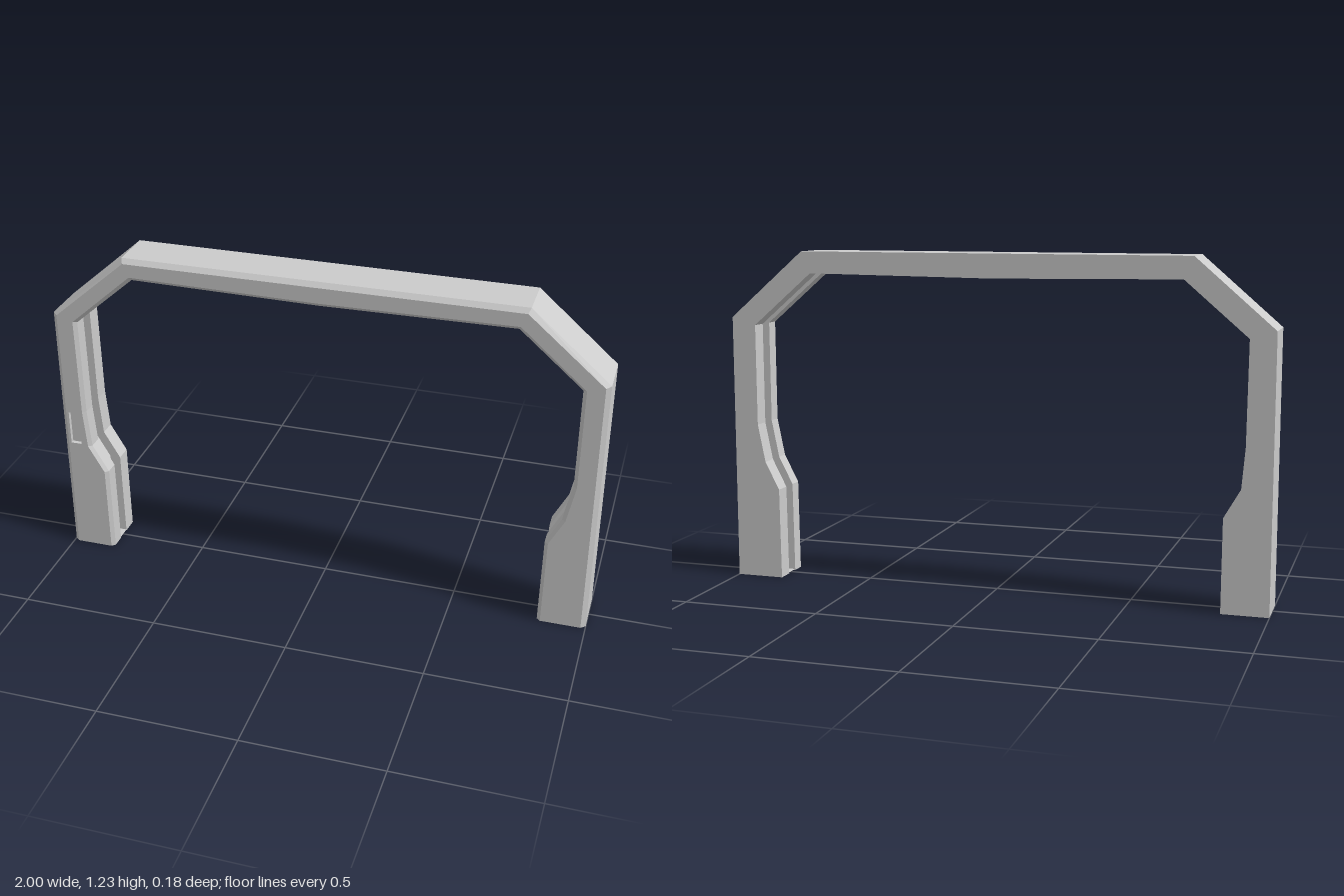
import * as THREE from 'three';

const BACK = -0.09, FRONT = 0.09;
const GROOVE_HALF = 0.027, GROOVE_DEPTH = 0.04;

// Stations along the arch: outer x, outer y, inner x, inner y
const STATIONS = [
  [-1, 0, -0.832, 0], [-1, 0.337, -0.834, 0.337], [-1, 0.44, -0.893, 0.44],
  [-1, 0.585, -0.905, 0.585], [-1, 0.98, -0.909, 0.952],
  [-0.718, 1.225, -0.684, 1.146], [0, 1.225, 0, 1.138], [0.718, 1.225, 0.684, 1.146],
  [1, 0.98, 0.909, 0.952], [1, 0.58, 0.908, 0.58],
  [1, 0.44, 0.88, 0.44], [1, 0.337, 0.827, 0.337], [1, 0, 0.823, 0],
];

// Cross-section: [edge measured from (0 outer, 1 inner), depth inwards, z]
const SECTION = [
  [0, 0, BACK], [0, 0, 0.075], [0, 0.017, FRONT],
  [1, 0.013, FRONT], [1, 0, 0.078],
  [1, 0, GROOVE_HALF], [1, GROOVE_DEPTH, GROOVE_HALF],
  [1, GROOVE_DEPTH, -GROOVE_HALF], [1, 0, -GROOVE_HALF], [1, 0, BACK],
];
const FRONT_STRIP = 2; // this strip is made separately, with the panel hole

function place([ox, oy, ix, iy], [side, depth, z]) {
  const width = oy > 1 ? oy - iy : Math.abs(ox - ix);
  const t = side ? 1 - depth / width : depth / width;
  return new THREE.Vector3(ox + (ix - ox) * t, oy + (iy - oy) * t, z);
}

function quadGeometry(quads) {
  const pos = [];
  for (const [a, b, c, d] of quads) {
    for (const p of [a, b, c, a, c, d]) pos.push(p.x, p.y, p.z);
  }
  const geo = new THREE.BufferGeometry();
  geo.setAttribute('position', new THREE.Float32BufferAttribute(pos, 3));
  geo.computeVertexNormals();
  return geo;
}

export function createModel() {
  const group = new THREE.Group();
  const material = new THREE.MeshStandardMaterial({ color: 0xcccccc, flatShading: true });
  const add = (name, geometry) => {
    const mesh = new THREE.Mesh(geometry, material);
    mesh.name = name;
    group.add(mesh);
  };

  // Frame: the section swept along the arch
  const rings = STATIONS.map(s => SECTION.map(p => place(s, p)));
  const quads = [];
  for (let i = 0; i < rings.length - 1; i++) {
    for (let j = 0; j < SECTION.length; j++) {
      if (j === FRONT_STRIP) continue;
      const k = (j + 1) % SECTION.length;
      quads.push([rings[i][j], rings[i][k], rings[i + 1][k], rings[i + 1][j]]);
    }
  }
  add('frame', quadGeometry(quads));

  // Front face with a hole for the control panel
  const outline = [
    ...rings.map(r => r[FRONT_STRIP]),
    ...rings.map(r => r[FRONT_STRIP + 1]).reverse(),
  ].map(p => new THREE.Vector2(p.x, p.y));
  const face = new THREE.Shape(outline);
  const [x0, x1, y0, y1] = [-0.973, -0.932, 0.447, 0.577];
  const corners = [[x0, y0], [x1, y0], [x1, y1], [x0, y1]];
  face.holes.push(new THREE.Path(corners.map(c => new THREE.Vector2(...c))));
  add('frontFace', new THREE.ShapeGeometry(face).translate(0, 0, FRONT));

  // Recessed control panel: four walls and a floor
  const rim = corners.map(c => new THREE.Vector3(...c, FRONT));
  const floor = corners.map(c => new THREE.Vector3(...c, FRONT - 0.015));
  const walls = rim.map((p, i) => {
    const n = (i + 1) % 4;
    return [p, floor[i], floor[n], rim[n]].reverse();
  });
  add('controlPanel', quadGeometry([floor, ...walls]));

  // Feet: flat caps that also close the lower end of the groove
  for (const [name, ring] of [['rightFoot', rings[0]], ['leftFoot', rings[rings.length - 1]]]) {
    const cap = new THREE.Shape([0, 1, 2, 3, 4, 9].map(j => new THREE.Vector2(ring[j].x, ring[j].z)));
    add(name, new THREE.ShapeGeometry(cap).rotateX(Math.PI / 2));
    const [a, b, c, d] = [5, 6, 7, 8].map(j => ring[j].clone().setY(0.004));
    const up = ring[0].x < 0 ? [a, d, c, b] : [a, b, c, d];
    add(name + 'GrooveStop', quadGeometry([up]));
  }
  return group;
}
